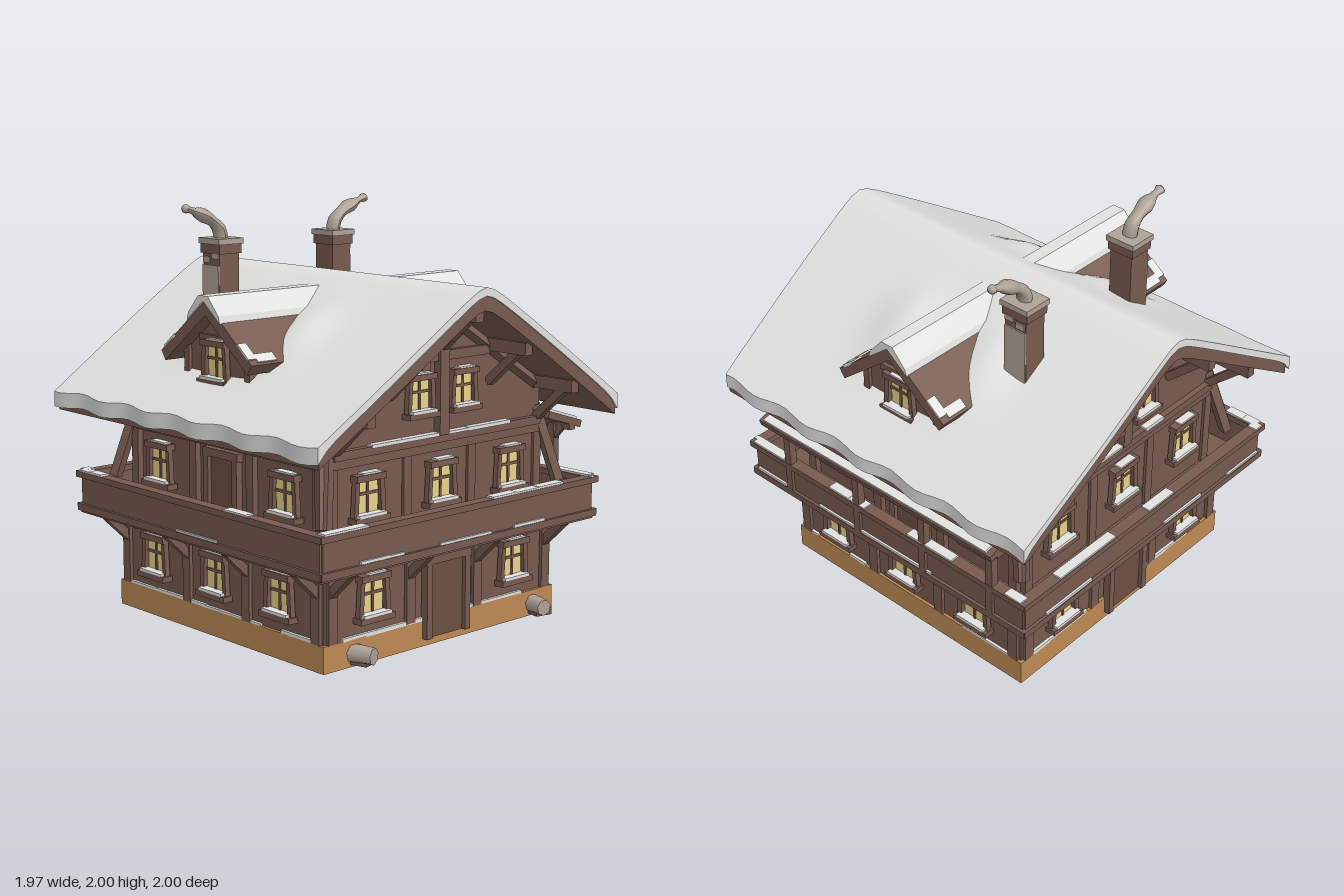
import * as THREE from 'three';

const mat = (name, color) => {
  const m = new THREE.MeshStandardMaterial({ color });
  m.name = name;
  return m;
};

export function createModel() {
  const wood = mat('wood', 0x785b50);
  const darkWood = mat('dark wood', 0x6c4f44);
  const snow = mat('snow', 0xe2e2e1);
  const glow = mat('window glow', 0xecd88c);
  const clay = mat('foundation', 0xbe8a54);
  const stone = mat('stone', 0xb0a296);

  const model = new THREE.Group();
  model.name = 'chalet';
  let seed = 7;
  const rand = () => (seed = (seed * 16807) % 2147483647) / 2147483647;
  const zAxis = new THREE.Vector3(0, 0, 1);

  const add = (parent, name, geo, material) => {
    const m = new THREE.Mesh(geo, material);
    m.name = name;
    parent.add(m);
    return m;
  };
  const box = (parent, name, material, w, h, d, x, y, z) => {
    const m = add(parent, name, new THREE.BoxGeometry(w, h, d), material);
    m.position.set(x, y, z);
    return m;
  };
  // square timber between two points of its parent
  const beam = (parent, name, a, b, t) => {
    const p = new THREE.Vector3(...a), q = new THREE.Vector3(...b);
    const m = box(parent, name, wood, t, t, p.distanceTo(q), 0, 0, 0);
    m.position.copy(p).add(q).multiplyScalar(0.5);
    m.quaternion.setFromUnitVectors(zAxis, q.sub(p).normalize());
    return m;
  };
  const prism = (points, depth) => new THREE.ExtrudeGeometry(
    new THREE.Shape(points.map(p => new THREE.Vector2(...p))), { depth, bevelEnabled: false });
  const group = (parent, name) => {
    const g = new THREE.Group();
    g.name = name;
    parent.add(g);
    return g;
  };
  // thin broken strips of snow lying on a ledge
  const drifts = (parent, half, y, z, h, d, keep) => {
    for (let x = -half; x < half - 0.02;) {
      const w = Math.min(0.08 + rand() * 0.22, half - x);
      if (rand() < keep) box(parent, 'snowDrift', snow, w, h * (0.6 + rand() * 0.6), d, x + w / 2, y, z);
      x += w;
    }
  };
  const roofY = x => 1.675 - 0.645 * (Math.hypot(x, 0.05) - 0.05);

  // main body, the upper walls reaching into the roof boards
  box(model, 'underside', snow, 1.49, 0.004, 1.49, 0, 0.002, 0);
  box(model, 'foundation', clay, 1.51, 0.126, 1.51, 0, 0.067, 0);
  box(model, 'groundFloor', wood, 1.48, 0.36, 1.48, 0, 0.3, 0);
  const gableLine = [0.69, 0.3, 0.1, 0.04, 0, -0.04, -0.1, -0.3, -0.69].map(x => [x, roofY(x) - 0.075]);
  add(model, 'upperFloor', prism([[-0.69, 0.47], [0.69, 0.47], ...gableLine], 1.41), wood).position.z = -0.705;

  // window: facing +z, origin at the centre of the glass
  const addWindow = (parent, x, y, z, s = 1) => {
    const g = group(parent, 'window');
    g.position.set(x, y, z);
    g.scale.set(s, s, 1);
    box(g, 'glass', glow, 0.13, 0.15, 0.008, 0, 0, 0.008);
    box(g, 'mullion', wood, 0.013, 0.15, 0.008, 0, 0, 0.014);
    box(g, 'crossbar', wood, 0.13, 0.013, 0.008, 0, 0.015, 0.014);
    for (const k of [-1, 1]) beam(g, 'jamb', [k * 0.085, -0.09, 0.02], [k * 0.074, 0.09, 0.02], 0.026);
    box(g, 'lintel', wood, 0.18, 0.03, 0.05, 0, 0.09, 0.02);
    box(g, 'sill', wood, 0.21, 0.028, 0.06, 0, -0.1, 0.025);
    box(g, 'sillSnow', snow, 0.17, 0.014, 0.05, 0, -0.08, 0.03);
    box(g, 'lintelSnow', snow, 0.11, 0.008, 0.04, 0.01, 0.109, 0.02);
  };
  const addDoor = (parent, y0, y1, w, z) => {
    const g = group(parent, 'door');
    box(g, 'doorLeaf', darkWood, w, y1 - y0, 0.01, 0, (y0 + y1) / 2, z + 0.005);
    for (const k of [-1, 1]) box(g, 'doorPost', wood, 0.035, y1 - y0, 0.04, k * (w / 2 + 0.015), (y0 + y1) / 2, z + 0.01);
    box(g, 'doorLintel', wood, w + 0.08, 0.04, 0.04, 0, y1 + 0.015, z + 0.01);
  };

  // four sides, each built facing +z and turned into place
  ['front', 'left', 'back', 'right'].forEach((side, i) => {
    const f = group(model, side + 'Side');
    f.rotation.y = i * Math.PI / 2;
    const gable = i % 2 === 0;

    for (const x of [-0.46, 0.46]) {
      addWindow(f, x, 0.31, 0.74);
      addWindow(f, x, 0.76, 0.705);
    }
    if (gable) {
      addDoor(f, 0.04, 0.4, 0.22, 0.755);
      addWindow(f, 0, 0.76, 0.705);
    } else {
      addWindow(f, 0, 0.31, 0.74);
      addDoor(f, 0.5, 0.86, 0.18, 0.695);
    }

    // wall timbers and knee braces under the balcony
    for (const x of [-0.7, -0.22, 0.22, 0.7]) {
      box(f, 'groundPost', wood, 0.055, 0.34, 0.03, x, 0.3, 0.743);
      beam(f, 'balconyBrace', [x, 0.36, 0.745], [x, 0.48, 0.87], 0.04);
      box(f, 'upperPost', wood, 0.05, 0.5, 0.03, x * 0.95, 0.73, 0.705);
    }
    box(f, 'upperBeam', wood, 1.38, 0.05, 0.04, 0, 0.93, 0.705);
    drifts(f, 0.72, 0.134, 0.748, 0.018, 0.014, 0.55);

    // balcony parapet with snow on its ledges
    box(f, 'balconyPanel', wood, 1.76, 0.17, 0.03, 0, 0.58, 0.875);
    box(f, 'handrail', wood, 1.81, 0.03, 0.06, 0, 0.665, 0.878);
    box(f, 'balconyLedge', wood, 1.8, 0.035, 0.04, 0, 0.5, 0.885);
    drifts(f, 0.88, 0.683, 0.88, 0.012, 0.05, 0.55);
    drifts(f, 0.87, 0.523, 0.893, 0.014, 0.016, 0.4);

    // corner props from balcony to eaves
    for (const k of [-1, 1]) beam(f, 'cornerProp', [k * 0.76, 0.66, 0.77], [k * 0.67, 1.03, 0.69], 0.045);

    if (!gable) return;
    // gable framing and roof brackets
    for (const x of [-0.14, 0.14]) addWindow(f, x, 1.18, 0.705, 0.92);
    box(f, 'gableSill', wood, 1.34, 0.04, 0.05, 0, 0.965, 0.71);
    drifts(f, 0.45, 0.985, 0.715, 0.016, 0.05, 0.6);
    box(f, 'kingPost', wood, 0.06, 0.58, 0.05, 0, 1.27, 0.72);
    box(f, 'collarBeam', wood, 0.62, 0.045, 0.04, 0, 1.345, 0.71);
    for (const x of [-0.66, -0.33, 0, 0.33, 0.66]) {
      const y = roofY(x) - 0.125;
      box(f, 'purlin', wood, 0.05, 0.06, 0.26, x, y, 0.825);
      beam(f, 'purlinBrace', [x, y - 0.18, 0.71], [x, y - 0.01, 0.9], 0.04);
    }
    for (const k of [-1, 1]) beam(f, 'gableRafter', [k * 0.66, 1.14, 0.71], [0, 1.56, 0.71], 0.04);
  });
  box(model, 'balconyFloor', wood, 1.78, 0.03, 1.78, 0, 0.485, 0);

  // main roof: a subdivided slab bent over the ridge
  const slab = (top, bottom, halfX, halfZ, bumpy) => {
    const g = new THREE.BoxGeometry(2, 1, 2, 40, 1, 36);
    const p = g.attributes.position;
    for (let i = 0; i < p.count; i++) {
      const u = p.getX(i), v = p.getZ(i), up = p.getY(i) > 0;
      const wob = bumpy * 0.01 * Math.sin(v * 17 + u) * Math.abs(u) ** 6 * Math.sign(u);
      const x = u * halfX + wob, z = v * (halfZ - 0.035 * u * u);
      // snow heaped beside the dormers, and hanging over the eaves
      const d = Math.hypot((Math.abs(x) - 0.47) / 0.18, (Math.abs(z) - 0.25) / 0.14);
      const shift = up ? 0.05 * Math.exp(-d * d) : -0.035 * Math.abs(u) ** 24;
      p.setXYZ(i, x, roofY(x) + (up ? top : bottom) + bumpy * shift, z);
    }
    g.computeVertexNormals();
    return g;
  };
  add(model, 'roofBoards', slab(-0.03, -0.1, 0.96, 0.99, 0), wood);
  add(model, 'roofSnow', slab(0.006, -0.033, 0.975, 0.998, 1), snow);

  // dormers and chimneys on both slopes
  for (const s of [-1, 1]) {
    const d = group(model, s > 0 ? 'leftDormer' : 'rightDormer');
    d.rotation.y = s * Math.PI / 2;
    add(d, 'dormerWall', prism([[-0.24, 1.2], [0.24, 1.2], [0.24, 1.37], [0, 1.56], [-0.24, 1.37]], 0.42), wood)
      .position.z = 0.3;
    add(d, 'dormerRoof', prism([[-0.33, 1.335], [-0.3, 1.29], [0, 1.53], [0.3, 1.29], [0.33, 1.335], [0, 1.6]], 0.68), wood)
      .position.z = 0.12;
    add(d, 'dormerSnow', prism([[-0.12, 1.5], [0, 1.595], [0.12, 1.5], [0.11, 1.535], [0.035, 1.62],
      [-0.035, 1.62], [-0.11, 1.535]], 0.71), snow).position.z = 0.1;
    for (const k of [-1, 1]) {
      // snow caught along the lower edge of the dormer roof
      for (const [z, r, w, l] of [[0.7, 0.3, 0.05, 0.11], [0.775, 0.265, 0.1, 0.05]]) {
        box(d, 'dormerEdgeSnow', snow, w, 0.014, l, k * r, 1.6 - 0.803 * r, z).rotation.z = -k * 0.677;
      }
      beam(d, 'dormerPost', [k * 0.22, 1.2, 0.72], [k * 0.22, 1.38, 0.72], 0.035);
    }
    box(d, 'dormerBeam', wood, 0.24, 0.03, 0.03, 0, 1.415, 0.725);
    addWindow(d, 0, 1.31, 0.72, 0.95);

    const c = group(model, s > 0 ? 'leftChimney' : 'rightChimney');
    c.position.set(s * 0.365, 0, -0.42);
    box(c, 'shaft', wood, 0.12, 0.4, 0.125, 0, 1.6, 0);
    box(c, 'shaftFacing', stone, 0.008, 0.27, 0.122, s * 0.063, 1.565, 0);
    for (const [y, z] of [[1.725, -0.03], [1.745, 0.035]]) {
      box(c, 'facingPatch', stone, 0.008, 0.03, 0.05, s * 0.063, y, z);
    }
    box(c, 'capBand', wood, 0.135, 0.05, 0.145, 0, 1.78, 0);
    box(c, 'cap', stone, 0.15, 0.028, 0.16, 0, 1.815, 0);

    // curling smoke: a tube narrowed and swollen along its length
    const path = new THREE.CatmullRomCurve3([[0, 1.82], [0.01, 1.87], [0.06, 1.915], [0.13, 1.95], [0.215, 1.98]]
      .map(([x, y]) => new THREE.Vector3(s * x, y, 0)));
    const tube = new THREE.TubeGeometry(path, 10, 0.036, 8, false);
    const p = tube.attributes.position, centre = new THREE.Vector3(), v = new THREE.Vector3();
    for (let i = 0; i < p.count; i++) {
      const t = Math.floor(i / 9) / 10;
      path.getPointAt(t, centre);
      v.fromBufferAttribute(p, i).sub(centre).multiplyScalar(0.85 + 0.3 * Math.sin(t * 13) * t - 0.35 * t ** 4);
      p.setXYZ(i, centre.x + v.x, centre.y + v.y, centre.z + v.z * 1.25);
    }
    tube.computeVertexNormals();
    add(c, 'smoke', tube, stone);
    add(c, 'smokeTip', new THREE.SphereGeometry(0.022, 8, 6), stone).position.set(s * 0.21, 1.977, 0);
  }

  // lean-to canopy over the left balcony
  const canopy = group(model, 'canopy');
  const slope = (name, m, y, t, len) => {
    box(canopy, name, m, 0.25, t, len, 0.845, y, -0.01).rotation.z = -0.3;
  };
  slope('canopyBoards', wood, 0.945, 0.035, 1.5);
  slope('canopySnow', snow, 0.968, 0.018, 1.44);
  box(canopy, 'canopyBeam', wood, 0.04, 0.04, 1.5, 0.9, 0.905, -0.01);
  for (const z of [-0.69, -0.27, 0.16, 0.63]) {
    box(canopy, 'canopyPost', wood, 0.04, 0.42, 0.04, 0.885, 0.7, z);
    for (const k of [-1, 1]) beam(canopy, 'canopyBrace', [0.885, 0.83, z], [0.89, 0.9, z + k * 0.06], 0.025);
  }

  // split logs lying by the front wall
  for (const [x, turn] of [[-0.56, 0.3], [0.6, -0.2]]) {
    const g = group(model, 'logPile');
    g.position.set(x, 0, 0.795);
    g.rotation.y = turn;
    const log = add(g, 'log', new THREE.CylinderGeometry(0.04, 0.046, 0.12, 7), stone);
    log.rotation.x = Math.PI / 2;
    log.position.y = 0.065;
    box(g, 'logSide', wood, 0.09, 0.035, 0.09, 0.02, 0.035, -0.01);
  }
  return model;
}
